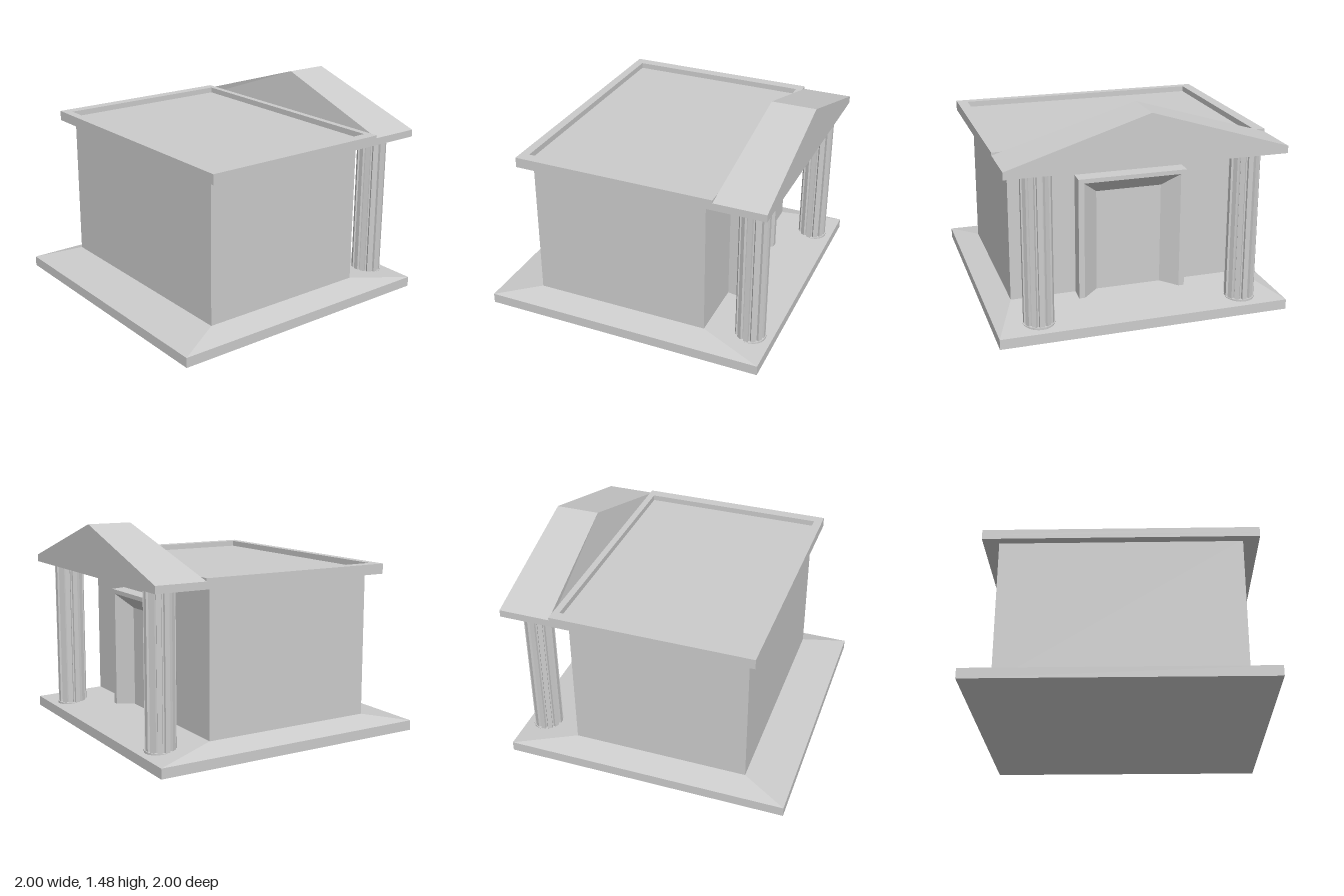
import * as THREE from 'three';

const grey = new THREE.MeshStandardMaterial({ color: 0xcccccc, flatShading: true, side: THREE.DoubleSide });

function add(group, name, geometry, x = 0, y = 0, z = 0) {
  const mesh = new THREE.Mesh(geometry, grey);
  mesh.name = name;
  mesh.position.set(x, y, z);
  group.add(mesh);
  return mesh;
}

// Box given by its limits on each axis
function block(group, name, x0, x1, y0, y1, z0, z1) {
  return add(group, name, new THREE.BoxGeometry(x1 - x0, y1 - y0, z1 - z0),
    (x0 + x1) / 2, (y0 + y1) / 2, (z0 + z1) / 2);
}

// Skin a list of equally long cross-sections, each a list of [x, y, z]
function loft(sections, closed) {
  const pos = [];
  const n = sections[0].length;
  for (let i = 0; i < sections.length - 1; i++) {
    for (let j = 0; j < (closed ? n : n - 1); j++) {
      const k = (j + 1) % n;
      const a = sections[i][j], b = sections[i][k];
      const c = sections[i + 1][k], d = sections[i + 1][j];
      pos.push(...a, ...b, ...c, ...a, ...c, ...d);
    }
  }
  const g = new THREE.BufferGeometry();
  g.setAttribute('position', new THREE.Float32BufferAttribute(pos, 3));
  g.computeVertexNormals();
  return g;
}

// Horizontal rectangle, anticlockwise seen from above
const rect = (w, y, back, front) => [[-w, y, front], [w, y, front], [w, y, back], [-w, y, back]];

// Fluted shaft outline: flat lands with grooves between
function flutedShape(radius, depth, flutes) {
  const pts = [];
  const step = (Math.PI * 2) / flutes;
  for (let i = 0; i < flutes; i++) {
    for (const [t, r] of [[-0.3, radius], [0.3, radius], [0.4, radius - depth], [0.6, radius - depth]]) {
      const a = (i + t) * step;
      pts.push(new THREE.Vector2(Math.cos(a) * r, Math.sin(a) * r));
    }
  }
  return new THREE.Shape(pts);
}

export function createModel() {
  const model = new THREE.Group();
  model.name = 'temple';

  // Plinth with a sloping top rising to the walls
  block(model, 'plinth', -1, 1, 0, 0.07, -1, 1);
  add(model, 'plinthSlope', loft([rect(1, 0.07, -1, 1), rect(0.835, 0.125, -0.56, 0.685)], true));

  // Hall
  block(model, 'walls', -0.835, 0.835, 0.1, 1.14, -0.56, 0.685);

  // Roof slab with a sunken top inside a raised rim
  block(model, 'roofSlab', -0.945, 0.945, 1.13, 1.16, -0.645, 0.75);
  add(model, 'roofRim', loft([
    rect(0.945, 1.16, -0.645, 0.75),
    rect(0.945, 1.2, -0.645, 0.75),
    rect(0.87, 1.2, -0.6, 0.69),
    rect(0.87, 1.16, -0.6, 0.69),
  ], true));

  // Pediment over the porch; its inner gable leans back towards the ridge
  const gable = new THREE.Shape([
    [-0.945, 1.13], [0.945, 1.13], [0.945, 1.18], [0, 1.475], [-0.945, 1.18],
  ].map(([x, y]) => new THREE.Vector2(x, y)));
  const pediment = new THREE.ExtrudeGeometry(gable, { depth: 0.355, bevelEnabled: false });
  pediment.translate(0, 0, -1);
  const p = pediment.attributes.position;
  for (let i = 0; i < p.count; i++) {
    if (p.getY(i) > 1.4 && p.getZ(i) > -0.8) p.setZ(i, -0.69);
  }
  pediment.computeVertexNormals();
  add(model, 'pediment', pediment);

  // Pair of fluted columns on thin round footings
  for (const side of [-1, 1]) {
    const column = new THREE.Group();
    column.name = side > 0 ? 'leftColumn' : 'rightColumn';
    column.position.set(side * 0.71, 0, -0.848);
    const shaft = new THREE.ExtrudeGeometry(flutedShape(0.103, 0.016, 12), { depth: 1.065, bevelEnabled: false });
    shaft.rotateX(-Math.PI / 2);
    add(column, 'shaft', shaft, 0, 0.07, 0);
    add(column, 'footing', new THREE.CylinderGeometry(0.109, 0.109, 0.03, 24), 0, 0.075, 0);
    model.add(column);
  }

  // Door surround with splayed jambs and lintel
  const arch = (w, top, z) => [[w, 0.08, z], [w, top, z], [-w, top, z], [-w, 0.08, z]];
  add(model, 'doorSurround', loft([
    arch(0.38, 0.97, -0.56),
    arch(0.38, 0.965, -0.655),
    arch(0.34, 0.935, -0.655),
    arch(0.23, 0.84, -0.56),
  ], false));

  return model;
}
